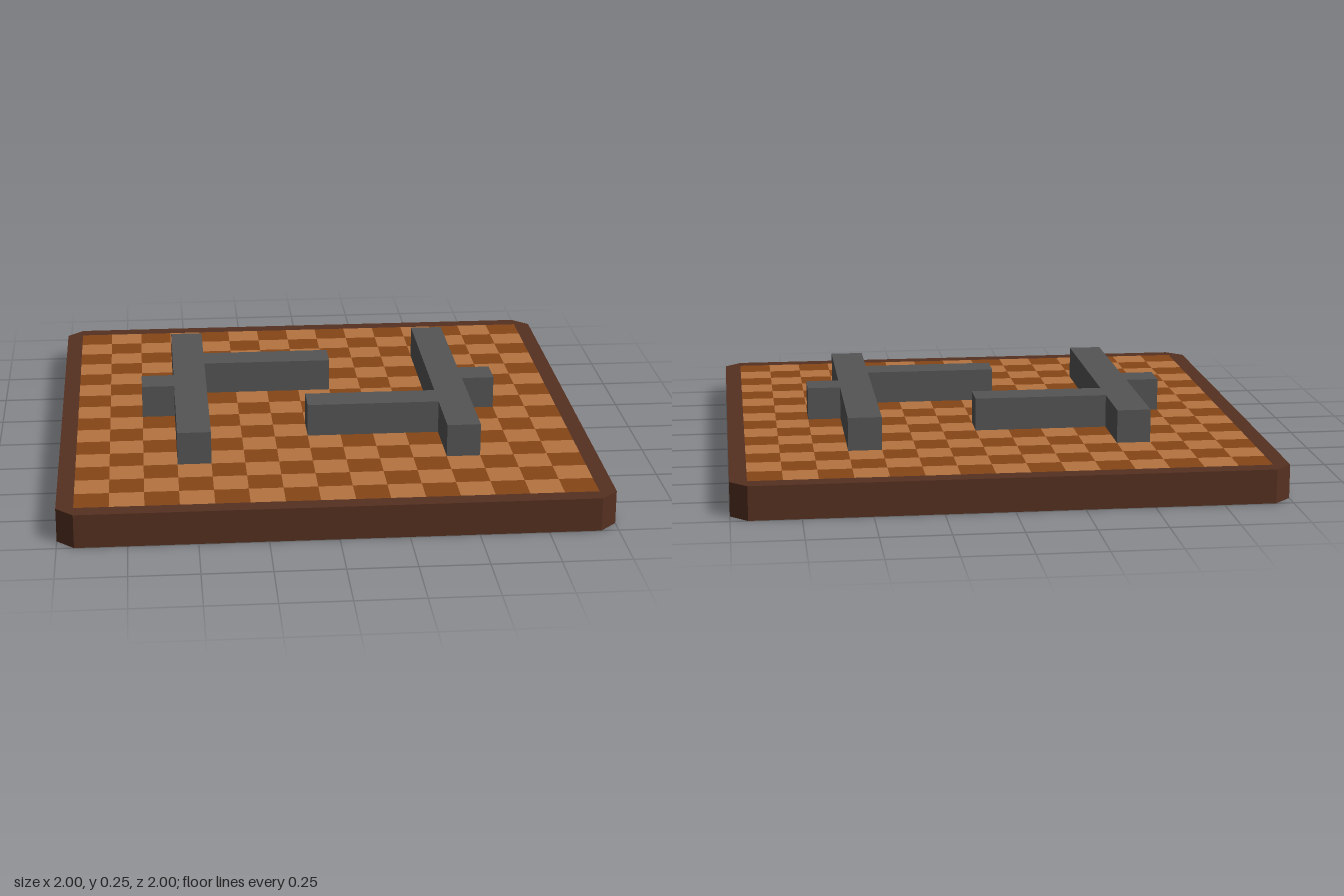
import * as THREE from 'three';
import { mergeGeometries } from 'three/addons/utils/BufferGeometryUtils.js';

const CELL = 0.125; // one square; also the board and wall height
const N = 15;       // squares per side

const material = (color) => new THREE.MeshStandardMaterial({ color });

// Extrude a plan outline of [x, z] points upward from height y.
function slab(name, outline, y, height, mat) {
  const shape = new THREE.Shape(outline.map(([x, z]) => new THREE.Vector2(x, -z)));
  const geometry = new THREE.ExtrudeGeometry(shape, { depth: height, bevelEnabled: false });
  geometry.rotateX(-Math.PI / 2).translate(0, y, 0);
  const mesh = new THREE.Mesh(geometry, mat);
  mesh.name = name;
  return mesh;
}

export function createModel() {
  const group = new THREE.Group();
  group.name = 'gameBoard';

  // Board with cut corners
  const c = 1 - CELL / 2;
  const octagon = [[-c, 1], [c, 1], [1, c], [1, -c], [c, -1], [-c, -1], [-1, -c], [-1, c]];
  group.add(slab('board', octagon, 0, CELL, material(0x553020)));

  // Checkered squares, dark in the corners
  const squares = [[], []];
  for (let row = 0; row < N; row++) {
    for (let col = 0; col < N; col++) {
      const tile = new THREE.PlaneGeometry(CELL, CELL).rotateX(-Math.PI / 2);
      tile.translate((col - 7) * CELL, CELL + 0.001, (row - 7) * CELL);
      squares[(row + col) % 2].push(tile);
    }
  }
  [['darkSquares', 0x854516], ['lightSquares', 0xb5733f]].forEach(([name, color], i) => {
    const mesh = new THREE.Mesh(mergeGeometries(squares[i]), material(color));
    mesh.name = name;
    group.add(mesh);
  });

  // Branched walls: a long bar, an inward arm and an outward stub (in cells)
  const wallPlan = [
    [-4.5, 4.5], [-3.5, 4.5], [-3.5, -1.5], [0.5, -1.5], [0.5, -2.5], [-3.5, -2.5],
    [-3.5, -4.5], [-4.5, -4.5], [-4.5, -0.5], [-5.5, -0.5], [-5.5, 0.5], [-4.5, 0.5],
  ];
  const wallMaterial = material(0x555555);
  // The left wall is the right one turned half a circle
  [['rightWall', 1], ['leftWall', -1]].forEach(([name, s]) => {
    const outline = wallPlan.map(([x, z]) => [s * x * CELL, s * z * CELL]);
    group.add(slab(name, outline, CELL, CELL, wallMaterial));
  });

  return group;
}
